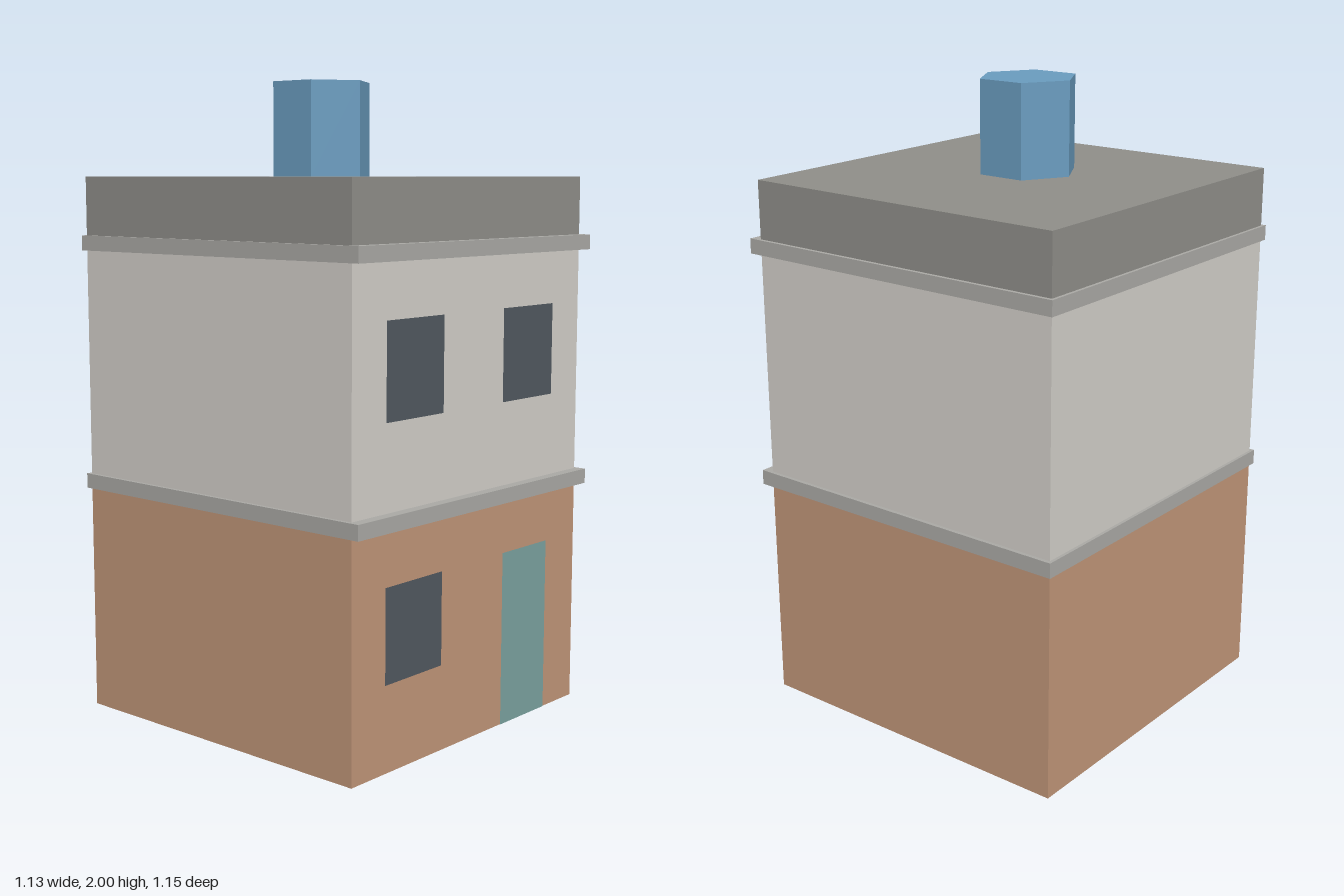
import * as THREE from 'three';

const paint = (color) => new THREE.MeshStandardMaterial({ color, flatShading: true });

export function createModel() {
  const model = new THREE.Group();
  const brick = paint(0xc09578), plaster = paint(0xd2cfc9), trim = paint(0xaaa9a5);
  const slate = paint(0x8f8e89), glass = paint(0x515860), teal = paint(0x7aa29f);
  const blue = paint(0x6a9cbf);

  const wallZ = -0.012, wallWidth = 1.106, wallFront = wallZ + wallWidth / 2;

  function add(name, geometry, material, x, y, z) {
    const mesh = new THREE.Mesh(geometry, material);
    mesh.name = name;
    mesh.position.set(x, y, z);
    model.add(mesh);
  }

  // Square block between two heights
  function block(name, material, y0, y1, width, depth, z) {
    add(name, new THREE.BoxGeometry(width, y1 - y0, depth), material, 0, (y0 + y1) / 2, z);
  }

  // Flat panel lying just proud of the front wall
  function panel(name, material, x, y0, y1, width) {
    add(name, new THREE.PlaneGeometry(width, y1 - y0), material, x, (y0 + y1) / 2, wallFront + 0.002);
  }

  // Storeys and flat roof
  block('groundFloor', brick, 0, 0.72, wallWidth, wallWidth, wallZ);
  block('upperFloor', plaster, 0.72, 1.48, wallWidth, wallWidth, wallZ);
  block('roof', slate, 1.48, 1.71, wallWidth, wallWidth, wallZ);

  // Ledges around the top of each storey, deeper at the front
  block('lowerLedge', trim, 0.72, 0.767, 1.13, 1.15, 0);
  block('upperLedge', trim, 1.48, 1.527, 1.13, 1.15, 0);

  // Windows and door
  panel('groundWindow', glass, -0.278, 0.265, 0.553, 0.26);
  for (const side of [-1, 1]) {
    panel(side < 0 ? 'upperWindowRight' : 'upperWindowLeft', glass, side * 0.277, 1.027, 1.315, 0.26);
  }
  panel('door', teal, 0.275, 0, 0.553, 0.235);

  // Six-sided rooftop tank
  add('roofTank', new THREE.CylinderGeometry(0.157, 0.157, 0.29, 6), blue, -0.062, 1.855, wallZ);

  return model;
}
